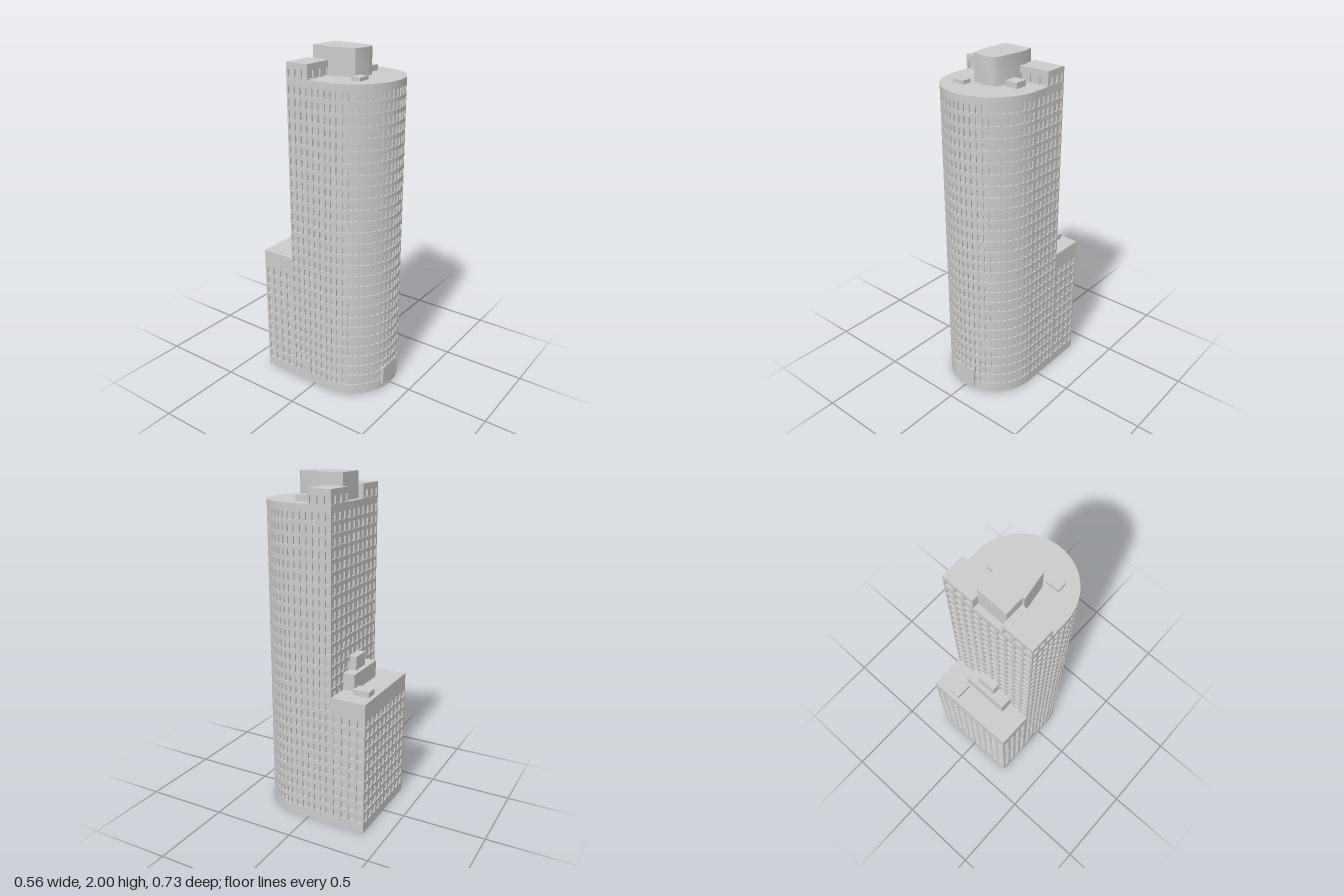
import * as THREE from 'three';
import { mergeGeometries, toCreasedNormals } from 'three/addons/utils/BufferGeometryUtils.js';

const material = new THREE.MeshStandardMaterial({ color: 0xcccccc });
const DEPTH = 0.01;      // window recess
const PITCH = 0.0656;    // storey height
const WINDOW_H = 0.042;

// Ground-plan points [x, z] extruded upwards from y0 to y1, with an optional hole
function prism(points, y0, y1, hole) {
  const toShape = ([x, z]) => new THREE.Vector2(x, -z);
  const shape = new THREE.Shape(points.map(toShape));
  if (hole) shape.holes.push(new THREE.Path(hole.map(toShape)));
  const geo = new THREE.ExtrudeGeometry(shape, { depth: y1 - y0, bevelEnabled: false });
  geo.rotateX(-Math.PI / 2);
  geo.translate(0, y0, 0);
  return geo;
}

function addMesh(parent, name, geo) {
  const mesh = new THREE.Mesh(geo, material);
  mesh.name = name;
  parent.add(mesh);
  return mesh;
}

function addBox(parent, name, x0, x1, y0, y1, z0, z1) {
  const mesh = addMesh(parent, name, new THREE.BoxGeometry(x1 - x0, y1 - y0, z1 - z0));
  mesh.position.set((x0 + x1) / 2, (y0 + y1) / 2, (z0 + z1) / 2);
}

// Plan point with outward direction; open means a window starts here
const plan = (x, z, nx, nz, open = false) => ({ x, z, nx, nz, open });

// Evenly spaced windows along a wall given by at(u), u from 0 to 1
function windowRun(at, count, ratio, margin = 0) {
  const out = [];
  const step = (1 - 2 * margin) / count;
  for (let i = 0; i < count; i++) {
    const mid = margin + (i + 0.5) * step;
    out.push({ ...at(mid - step * ratio / 2), open: true }, at(mid + step * ratio / 2));
  }
  return out;
}

const straight = (x0, z0, x1, z1, nx, nz) => (u) =>
  plan(x0 + (x1 - x0) * u, z0 + (z1 - z0) * u, nx, nz);

// Rectangular plan; counts are the windows on the +x, +z, -x and -z sides
function rectPlan(x0, x1, z0, z1, counts) {
  return [
    plan(x1, z0, 1, -1), ...windowRun(straight(x1, z0, x1, z1, 1, 0), counts[0], 0.68, 0.03),
    plan(x1, z1, 1, 1), ...windowRun(straight(x1, z1, x0, z1, 0, 1), counts[1], 0.68, 0.02),
    plan(x0, z1, -1, 1), ...windowRun(straight(x0, z1, x0, z0, -1, 0), counts[2], 0.68, 0.03),
    plan(x0, z0, -1, -1), ...windowRun(straight(x0, z0, x1, z0, 0, -1), counts[3], 0.68, 0.01),
  ];
}

// Solid base and cap, recessed core, and repeated storeys of piers and bands
function building(name, points, y0, firstSill, rows, top) {
  const group = new THREE.Group();
  group.name = name;
  const outer = points.map((p) => [p.x, p.z]);
  const inner = points.map((p) => [p.x - p.nx * DEPTH, p.z - p.nz * DEPTH]);
  const rowsTop = firstSill + rows * PITCH;
  const smooth = (geo) => toCreasedNormals(geo, 0.35);

  addMesh(group, 'base', smooth(prism(outer, y0, firstSill)));
  addMesh(group, 'recessedGlazing', smooth(prism(inner, firstSill, rowsTop)));
  addMesh(group, 'roofBand', smooth(prism(outer, rowsTop, top)));

  const parts = [smooth(prism(outer, WINDOW_H, PITCH, inner))];
  points.forEach((p, i) => {
    if (p.open) return;
    const j = (i + 1) % points.length;
    parts.push(prism([outer[i], outer[j], inner[j], inner[i]], 0, WINDOW_H));
  });
  const storey = mergeGeometries(parts);
  for (let r = 0; r < rows; r++) {
    addMesh(group, 'storey' + (r + 1), storey).position.y = firstSill + r * PITCH;
  }
  return group;
}

export function createModel() {
  const model = new THREE.Group();
  model.name = 'towerBlock';
  const W = 0.28, BACK = -0.155, MID = 0.085;

  // Main tower: flat back and sides, semicircular front
  const arc = (u) => {
    const a = Math.PI * u;
    return plan(W * Math.cos(a), MID + W * Math.sin(a), Math.cos(a), Math.sin(a));
  };
  const towerPlan = [
    plan(W, BACK, 1, -1), ...windowRun(straight(W, BACK, W, MID, 1, 0), 6, 0.68, 0.015),
    arc(0), ...windowRun(arc, 26, 0.69), arc(1),
    ...windowRun(straight(-W, MID, -W, BACK, -1, 0), 6, 0.68, 0.015),
    plan(-W, BACK, -1, -1), ...windowRun(straight(-W, BACK, W, BACK, 0, -1), 10, 0.68, 0.005),
  ];
  model.add(building('tower', towerPlan, 0, 0.06, 27, 1.85));

  // Lower rear annex
  model.add(building('annex', rectPlan(-W, W, -0.365, BACK, [4, 0, 4, 10]), 0, 0.06, 10, 0.8));
  addBox(model, 'annexPlantRoom', -0.147, 0.135, 0.8, 0.9, -0.227, BACK);
  addBox(model, 'annexUpperPlantRoom', -0.055, 0.062, 0.9, 0.98, -0.2, BACK);
  addBox(model, 'annexVent', 0.108, 0.182, 0.8, 0.832, -0.34, -0.242);

  // Raised roof wings at the back corners
  model.add(building('leftRoofWing', rectPlan(0.088, W, BACK, -0.016, [3, 3, 0, 3]), 1.85, 1.853, 1, 1.93));
  model.add(building('rightRoofWing', rectPlan(-W, -0.093, BACK, -0.016, [0, 3, 3, 3]), 1.85, 1.853, 1, 1.93));

  // Rounded rooftop core
  const corePlan = [
    [-0.093, -0.123], [0.087, -0.12], [0.1, -0.05], [0.078, 0.138], [0.055, 0.16],
    [0.015, 0.165], [-0.08, 0.145], [-0.105, -0.014], [-0.093, -0.016],
  ];
  addMesh(model, 'rooftopCore', toCreasedNormals(prism(corePlan, 1.85, 2), 0.8));

  // Small roof vents
  addBox(model, 'leftRoofVent', 0.108, 0.182, 1.85, 1.882, 0.04, 0.114);
  addBox(model, 'rightRoofVent', -0.155, -0.081, 1.85, 1.87, 0.172, 0.227);

  // Entrances
  addBox(model, 'frontEntrance', -0.08, 0.07, 0.03, 0.145, 0.3, 0.366);
  addBox(model, 'sideEntrance', -0.281, -0.25, 0.02, 0.14, -0.1, -0.03);

  return model;
}
